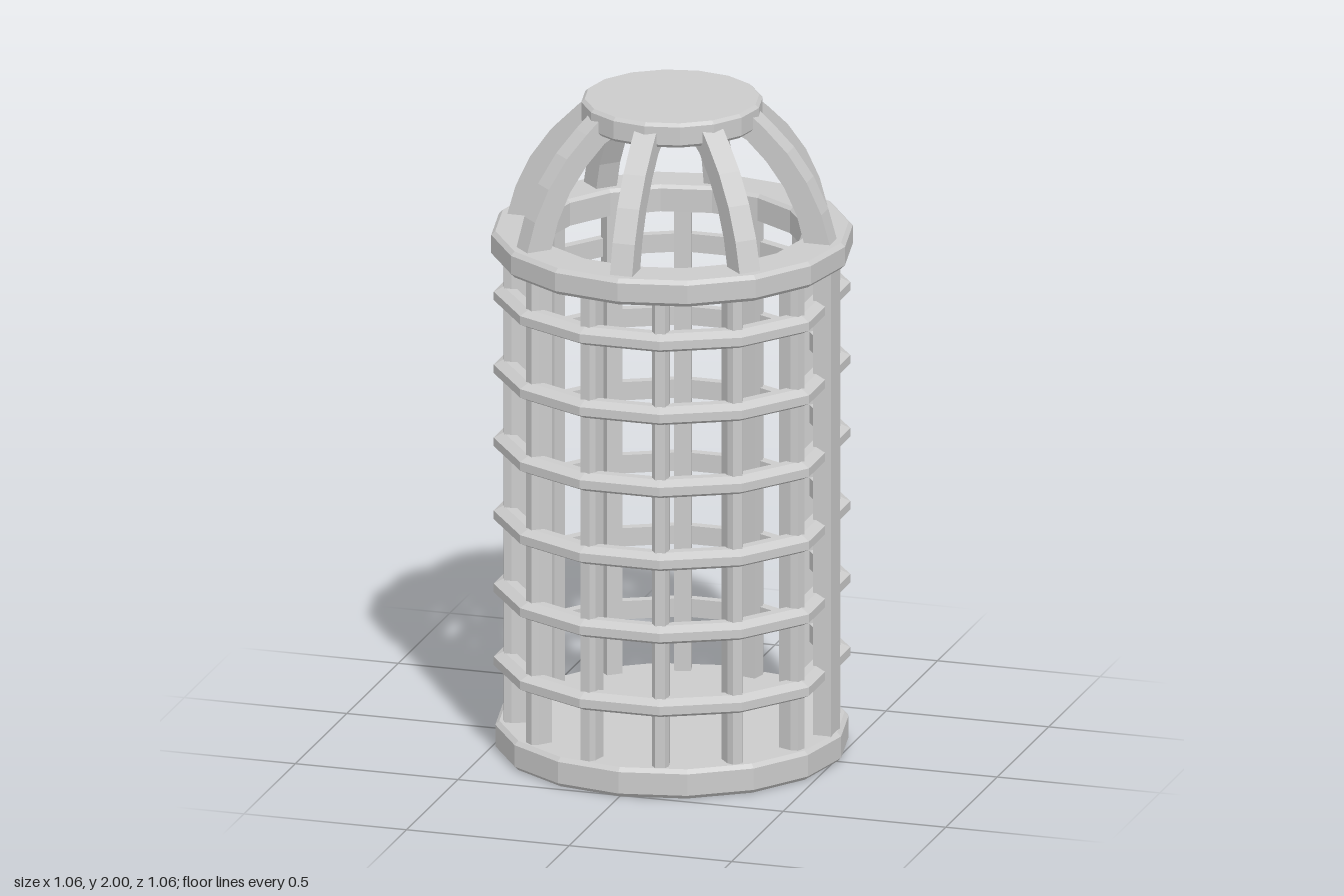
import * as THREE from 'three';

const material = new THREE.MeshStandardMaterial({ color: 0xcccccc, flatShading: true });
const SIDES = 16;
const deg = THREE.MathUtils.degToRad;

function addMesh(parent, name, geometry) {
  const flat = geometry.index ? geometry.toNonIndexed() : geometry;
  flat.computeVertexNormals();
  const mesh = new THREE.Mesh(flat, material);
  mesh.name = name;
  parent.add(mesh);
  return mesh;
}

// Profiles are [radius, height] pairs turned about the y axis
function turned(profile, sides = SIDES) {
  return new THREE.LatheGeometry(profile.map(([r, y]) => new THREE.Vector2(r, y)), sides);
}

// Solid disc with chamfered rims
function disc(radius, bottom, top, chamfer) {
  return turned([
    [0, bottom], [radius - chamfer, bottom], [radius, bottom + chamfer],
    [radius, top - chamfer], [radius - chamfer, top], [0, top],
  ]);
}

function shapeFrom(points) {
  return new THREE.Shape(points.map(([x, y]) => new THREE.Vector2(x, y)));
}

export function createModel() {
  const model = new THREE.Group();
  model.name = 'domedCage';

  // Base, open collar and top cap
  addMesh(model, 'base', disc(0.52, 0, 0.09, 0.012));
  addMesh(model, 'collar', turned([
    [0.39, 1.52], [0.52, 1.52], [0.532, 1.532], [0.532, 1.588],
    [0.52, 1.6], [0.4, 1.6], [0.39, 1.59], [0.39, 1.52],
  ]));
  addMesh(model, 'cap', disc(0.267, 1.925, 2, 0.01));

  // Vertical bars: three either side of the front and back, none at the side posts
  const quarter = [13.5, 40.5, 67.5];
  const angles = [
    ...quarter,
    ...quarter.map((a) => 180 - a).reverse(),
    ...quarter.map((a) => 180 + a),
    ...quarter.map((a) => 360 - a).reverse(),
  ].map(deg);

  const barShape = shapeFrom([[-0.025, 0.43], [0.025, 0.43], [0.025, 0.475], [0.015, 0.495], [-0.015, 0.495], [-0.025, 0.475]]);
  const barGeometry = new THREE.ExtrudeGeometry(barShape, { depth: 1.46, bevelEnabled: false });
  barGeometry.rotateX(Math.PI / 2).translate(0, 1.53, 0);
  const bars = new THREE.Group();
  bars.name = 'verticalBars';
  model.add(bars);
  for (const angle of angles) addMesh(bars, 'verticalBar', barGeometry).rotation.y = angle;

  // Horizontal rails: faceted hoops whose corners sit on the bars
  const railGeometry = turned([
    [0.465, -0.028], [0.495, -0.028], [0.525, -0.013], [0.525, 0.013],
    [0.495, 0.028], [0.465, 0.028], [0.465, -0.028],
  ], angles.length);
  const position = railGeometry.attributes.position;
  const rows = position.count / (angles.length + 1);
  for (let i = 0; i < position.count; i++) {
    const radius = Math.hypot(position.getX(i), position.getZ(i));
    const angle = angles[Math.floor(i / rows) % angles.length];
    position.setX(i, radius * Math.sin(angle));
    position.setZ(i, radius * Math.cos(angle));
  }
  const rails = new THREE.Group();
  rails.name = 'horizontalRails';
  model.add(rails);
  for (let i = 0; i < 6; i++) {
    addMesh(rails, 'horizontalRail', railGeometry).position.y = 0.275 + i * 0.225;
  }

  // Wide flat posts at the two sides
  for (const side of [1, -1]) {
    const post = addMesh(model, side > 0 ? 'leftPost' : 'rightPost', new THREE.BoxGeometry(0.055, 1.46, 0.09));
    post.position.set(side * 0.475, 0.8, 0);
  }

  // Curved dome ribs
  const ribShape = shapeFrom([
    [0.42, 1.585], [0.5, 1.585], [0.47, 1.69], [0.425, 1.785], [0.365, 1.87], [0.3, 1.935],
    [0.255, 1.975], [0.2, 1.975], [0.2, 1.92], [0.24, 1.9], [0.3, 1.84], [0.355, 1.765], [0.395, 1.68],
  ]);
  const ribGeometry = new THREE.ExtrudeGeometry(ribShape, { depth: 0.068, bevelEnabled: false });
  ribGeometry.translate(0, 0, -0.034);
  const ribs = new THREE.Group();
  ribs.name = 'domeRibs';
  model.add(ribs);
  for (let i = 0; i < 8; i++) addMesh(ribs, 'domeRib', ribGeometry).rotation.y = (i * Math.PI) / 4;

  return model;
}
